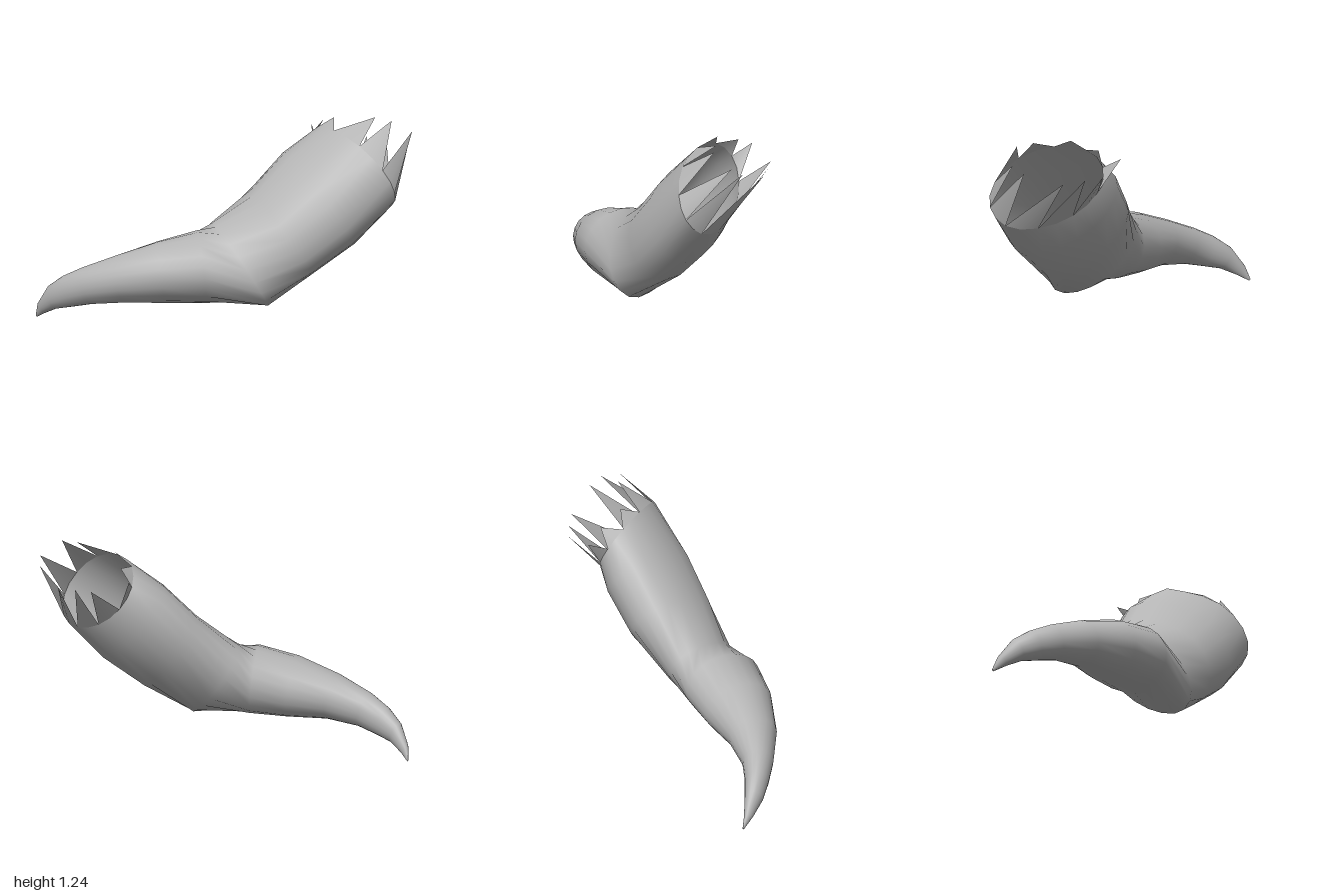
import * as THREE from 'three';

const SIDES = 20;
const RIDGE_ANGLES = [1.2, 5.5];

// Cross-sections from the point to the broken rim: centre, long half-axis, short half-axis, ridge height
const SECTIONS = [
  [[-1, 0.012, 0.575], [0.002, 0, 0.005], [-0.004, 0.006, 0], 0],
  [[-0.95, 0.07, 0.6], [0.008, 0, 0.027], [-0.025, 0.027, 0], 0],
  [[-0.86, 0.15, 0.62], [0.01, -0.005, 0.055], [-0.03, 0.065, 0], 0],
  [[-0.75, 0.2, 0.622], [0.01, 0, 0.072], [-0.035, 0.09, 0], 0],
  [[-0.62, 0.247, 0.61], [0.02, 0, 0.092], [-0.035, 0.108, 0], 0],
  [[-0.42, 0.302, 0.55], [0.055, 0, 0.14], [-0.03, 0.14, 0], 0],
  [[-0.2, 0.347, 0.435], [0.11, 0, 0.185], [-0.025, 0.183, 0.01], 0],
  [[0, 0.38, 0.31], [0.15, -0.02, 0.2], [-0.02, 0.21, 0.01], 0],
  [[0.17, 0.39, 0.15], [0.235, -0.135, 0.125], [-0.05, 0.19, 0.11], 0.03],
  [[0.34, 0.58, -0.06], [0.265, -0.19, 0.11], [0.03, 0.135, 0.18], 0.08],
  [[0.5, 0.768, -0.215], [0.3, -0.2, 0.105], [0.03, 0.145, 0.185], 0.08],
  [[0.66, 0.95, -0.36], [0.335, -0.11, 0.07], [0.02, 0.2, 0.115], 0.03],
];

// Tips of the jagged splinters, in order around the rim
const SPLINTERS = [
  [0.95, 1.16, -0.56], [0.88, 1.24, -0.44], [0.77, 1.25, -0.43],
  [0.51, 1.23, -0.38], [0.37, 1.18, -0.48], [0.25, 1.13, -0.54],
  [0.42, 1.07, -0.69], [0.54, 1.06, -0.7], [0.68, 1.05, -0.7], [0.9, 1.12, -0.62],
];

// Point on an ellipse that swells into soft ridges at set angles
function ringPoint([c, a, b, ridge], j) {
  const t = (j / SIDES) * Math.PI * 2;
  let r = 1;
  for (const angle of RIDGE_ANGLES) r += ridge * Math.max(0, Math.cos(t - angle)) ** 12;
  return c.map((v, k) => v + r * (a[k] * Math.cos(t) + b[k] * Math.sin(t)));
}

function surface(positions, index) {
  const geometry = new THREE.BufferGeometry();
  geometry.setAttribute('position', new THREE.Float32BufferAttribute(positions, 3));
  geometry.setIndex(index);
  geometry.computeVertexNormals();
  return geometry;
}

// Curved hollow shell lofted through the sections
function shellGeometry() {
  const positions = [];
  const index = [];
  SECTIONS.forEach((section, i) => {
    for (let j = 0; j < SIDES; j++) {
      positions.push(...ringPoint(section, j));
      if (i === SECTIONS.length - 1) continue;
      const p = i * SIDES + j;
      const q = i * SIDES + ((j + 1) % SIDES);
      index.push(p, p + SIDES, q, q, p + SIDES, q + SIDES);
    }
  });
  return surface(positions, index);
}

// One pointed splinter for every two sides of the rim
function splinterGeometry() {
  const rim = SECTIONS[SECTIONS.length - 1];
  const positions = [];
  const index = [];
  SPLINTERS.forEach((tip, k) => {
    const n = k * 4;
    for (let j = 0; j < 3; j++) positions.push(...ringPoint(rim, k * 2 + j));
    positions.push(...tip);
    index.push(n, n + 3, n + 1, n + 1, n + 3, n + 2);
  });
  return surface(positions, index);
}

export function createModel() {
  const grey = new THREE.MeshStandardMaterial({ color: 0xb4b4b4, side: THREE.DoubleSide });
  grey.name = 'grey horn';

  const group = new THREE.Group();
  group.name = 'brokenHorn';

  const shell = new THREE.Mesh(shellGeometry(), grey);
  shell.name = 'hornShell';
  const splinters = new THREE.Mesh(splinterGeometry(), grey);
  splinters.name = 'rimSplinters';

  group.add(shell, splinters);
  return group;
}
